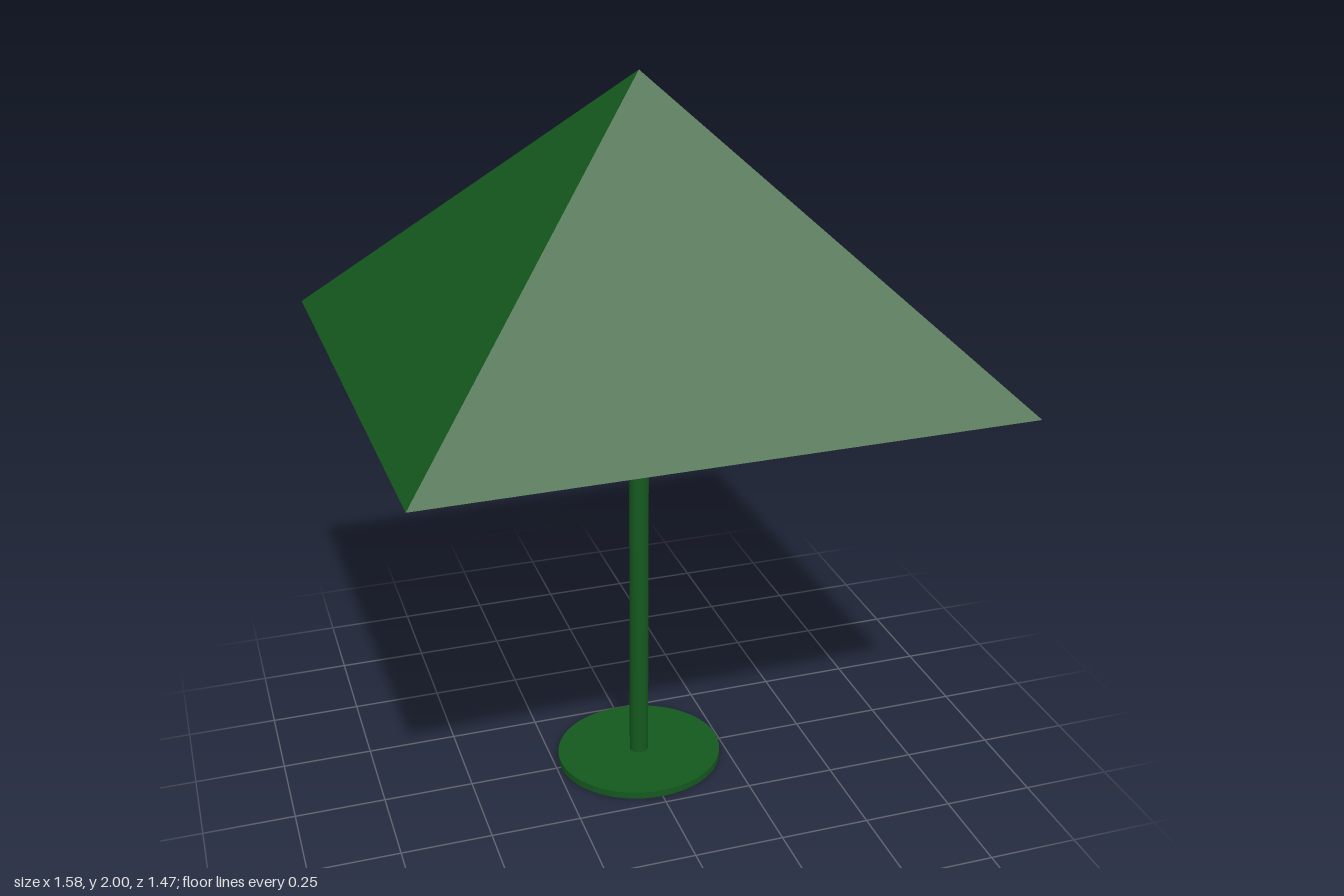
import * as THREE from 'three';

const green = new THREE.MeshStandardMaterial({ color: 0x14591e, side: THREE.DoubleSide });
const canopyGreen = green.clone();
canopyGreen.flatShading = true;

const DEPTH = 0.935; // the pole and base are slightly narrower in z than in x

// Thin four-sided canopy, open underneath
function makeCanopy() {
  const rim = 1.25;
  const apex = [0, 2, 0];
  const corners = [[0.79, 0.707], [0.757, -0.737], [-0.79, -0.707], [-0.757, 0.737]]
    .map(([x, z]) => [x, rim, z]);
  const points = [];
  corners.forEach((corner, i) => points.push(...apex, ...corner, ...corners[(i + 1) % 4]));
  const geometry = new THREE.BufferGeometry();
  geometry.setAttribute('position', new THREE.Float32BufferAttribute(points, 3));
  geometry.computeVertexNormals();
  const mesh = new THREE.Mesh(geometry, canopyGreen);
  mesh.name = 'canopy';
  return mesh;
}

// Hollow pole rising from the base to just below the peak
function makePole() {
  const height = 1.96;
  const geometry = new THREE.CylinderGeometry(0.027, 0.027, height, 20, 1, true);
  geometry.translate(0, height / 2, 0);
  geometry.scale(1, 1, DEPTH);
  const mesh = new THREE.Mesh(geometry, green);
  mesh.name = 'pole';
  return mesh;
}

// Flat round base plate with a hole for the pole
function makeBase() {
  const outline = new THREE.Shape().absarc(0, 0, 0.237, 0, Math.PI * 2);
  outline.holes.push(new THREE.Path().absarc(0, 0, 0.026, 0, Math.PI * 2, true));
  const geometry = new THREE.ExtrudeGeometry(outline, { depth: 0.02, bevelEnabled: false, curveSegments: 40 });
  geometry.rotateX(-Math.PI / 2);
  geometry.scale(1, 1, DEPTH);
  const mesh = new THREE.Mesh(geometry, green);
  mesh.name = 'base';
  return mesh;
}

export function createModel() {
  const parasol = new THREE.Group();
  parasol.name = 'parasol';
  parasol.add(makeCanopy(), makePole(), makeBase());
  return parasol;
}
